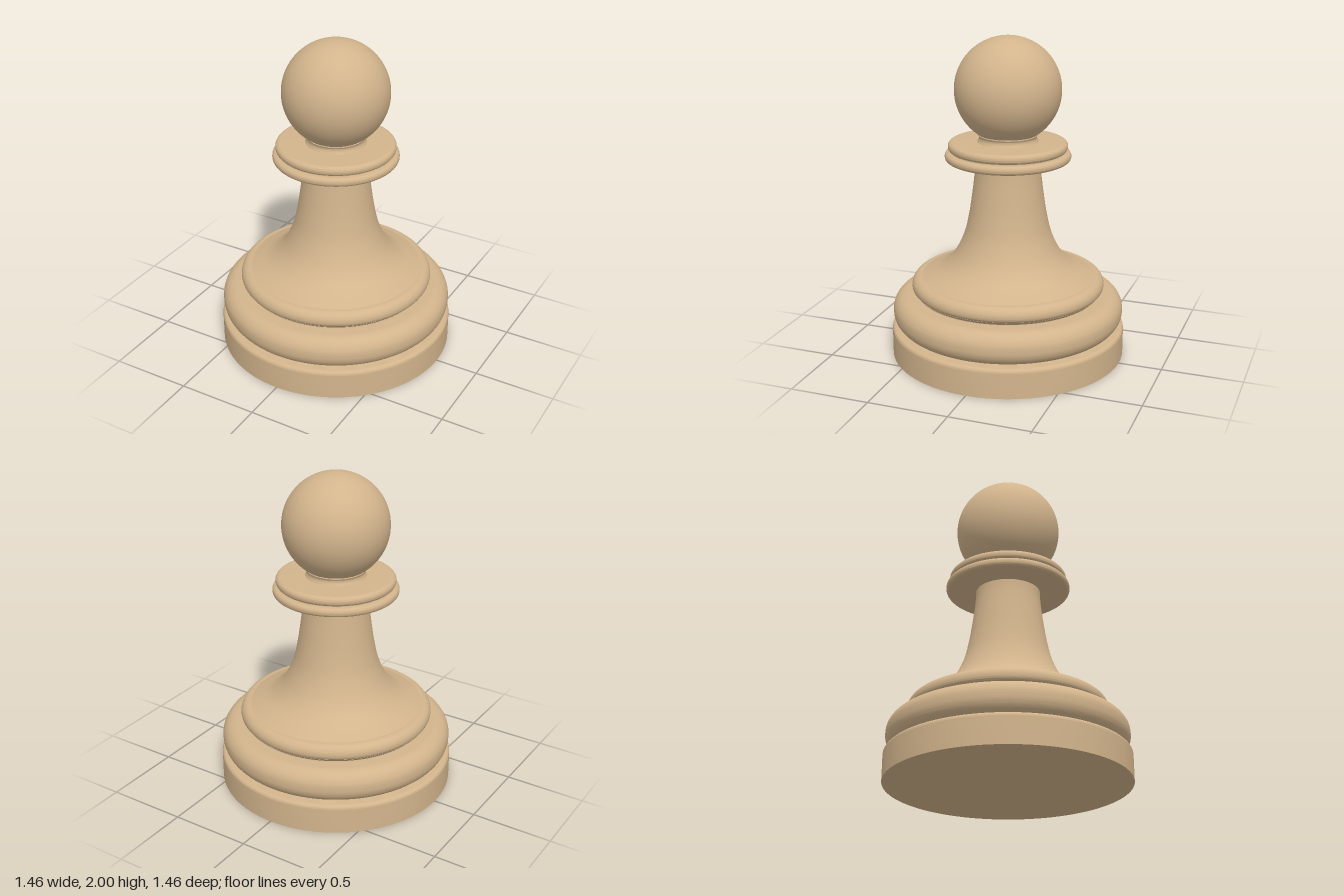
import * as THREE from 'three';
import { toCreasedNormals } from 'three/addons/utils/BufferGeometryUtils.js';

const SEGMENTS = 96;

export function createModel() {
  const model = new THREE.Group();
  model.name = 'pawn';
  const wood = new THREE.MeshStandardMaterial({ color: 0xd2b48c });
  wood.name = 'tan wood';

  const add = (name, geometry) => {
    const mesh = new THREE.Mesh(geometry, wood);
    mesh.name = name;
    model.add(mesh);
    return mesh;
  };

  // Turned part from a bottom-to-top outline
  const turn = (name, points) =>
    add(name, toCreasedNormals(new THREE.LatheGeometry(points, SEGMENTS), 0.6));

  // Solid disc with separately rounded bottom and top edges
  const disc = (name, r, y0, y1, bottom, top) => {
    const shape = new THREE.Path().moveTo(0, y0);
    if (bottom > 0) {
      shape.lineTo(r - bottom, y0);
      shape.absarc(r - bottom, y0 + bottom, bottom, -Math.PI / 2, 0, false);
    } else {
      shape.lineTo(r, y0);
    }
    shape.lineTo(r, y1 - top);
    shape.absarc(r - top, y1 - top, top, 0, Math.PI / 2, false);
    shape.lineTo(0, y1);
    // Drop coincident points so every outline step has a direction
    const points = shape.getPoints(10).filter((p, i, a) => i === 0 || p.distanceTo(a[i - 1]) > 1e-5);
    return turn(name, points);
  };

  // Stepped foot
  disc('basePlinth', 0.73, 0, 0.185, 0, 0.025);
  disc('baseRoll', 0.72, 0.18, 0.39, 0.1, 0.095);
  turn('baseGroove', [[0.57, 0.38], [0.565, 0.395], [0.585, 0.415]].map(([x, y]) => new THREE.Vector2(x, y)));
  disc('baseRing', 0.6, 0.41, 0.505, 0.035, 0.055);

  // Flared stem
  const stem = new THREE.SplineCurve([
    [0.56, 0.497], [0.51, 0.516], [0.41, 0.567], [0.33, 0.65], [0.272, 0.77],
    [0.24, 0.9], [0.217, 1.05], [0.202, 1.18], [0.2, 1.26],
  ].map(([x, y]) => new THREE.Vector2(x, y)));
  turn('stem', stem.getPoints(48));

  // Double collar with a narrow groove between its rings
  disc('lowerCollar', 0.385, 1.243, 1.298, 0.025, 0.025);
  disc('collarGroove', 0.345, 1.28, 1.32, 0, 0.005);
  disc('upperCollar', 0.365, 1.303, 1.36, 0.025, 0.027);

  // Slightly waisted neck
  const neck = new THREE.SplineCurve([
    [0.19, 1.355], [0.178, 1.375], [0.176, 1.39], [0.182, 1.403], [0.165, 1.41],
  ].map(([x, y]) => new THREE.Vector2(x, y)));
  turn('neck', neck.getPoints(16));

  // Ball head
  add('head', new THREE.SphereGeometry(0.324, SEGMENTS, 64)).position.y = 1.676;

  return model;
}
